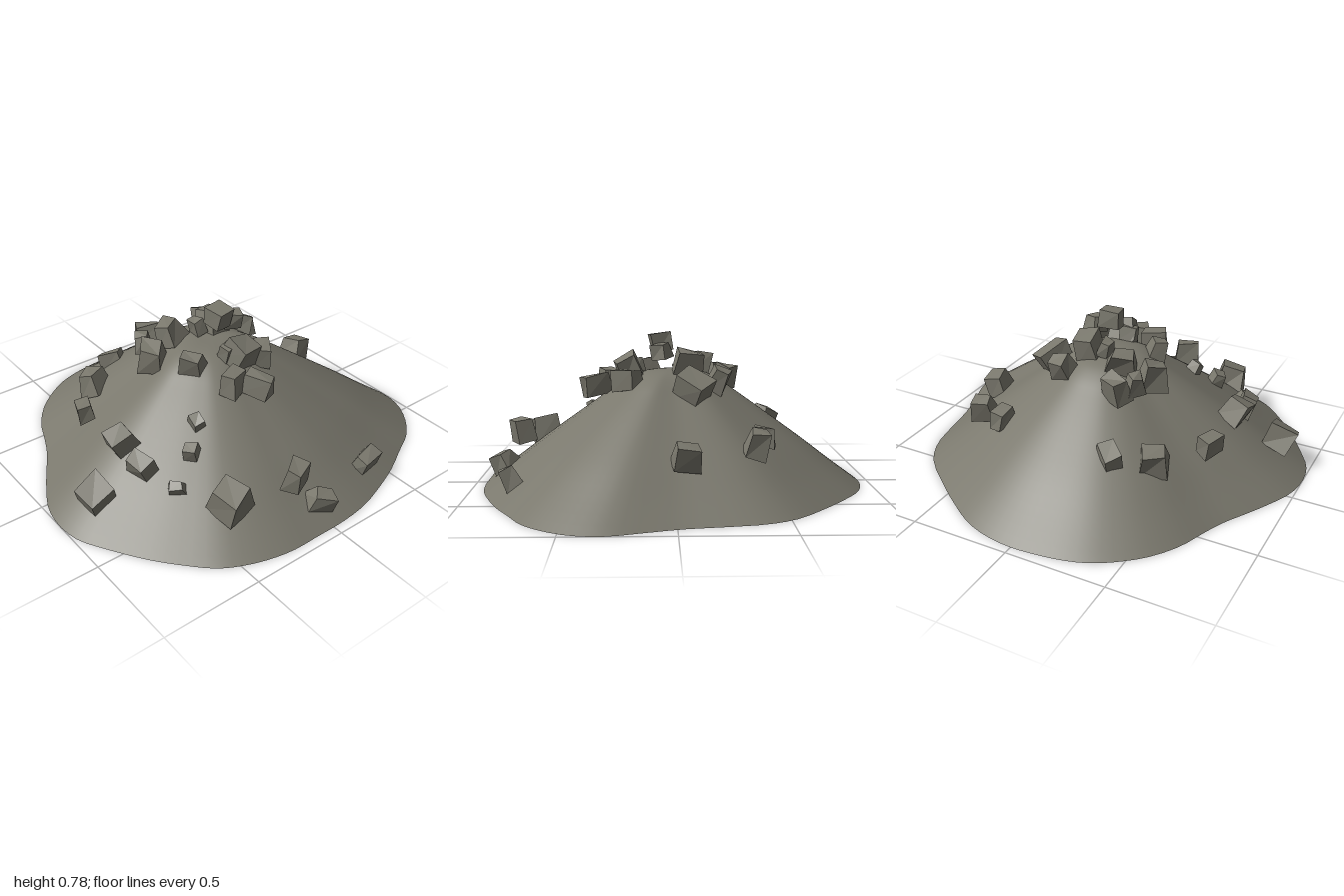
import * as THREE from 'three';

const stone = new THREE.MeshStandardMaterial({ color: 0x7a786d });
stone.name = 'grey stone';

// Footprint of the mound as x, z pairs, clockwise from the back
const outline = [
  [0, -0.957], [0.14, -0.94], [0.28, -0.89], [0.42, -0.8], [0.58, -0.68], [0.75, -0.53], [0.83, -0.39],
  [0.87, -0.2], [0.9, -0.02], [0.95, 0.14], [1, 0.31], [0.98, 0.45], [0.91, 0.57], [0.81, 0.67],
  [0.68, 0.74], [0.53, 0.82], [0.38, 0.88], [0.22, 0.93], [0.05, 0.95], [-0.1, 0.95], [-0.24, 0.95],
  [-0.36, 0.93], [-0.48, 0.89], [-0.59, 0.83], [-0.7, 0.72], [-0.8, 0.6], [-0.91, 0.43], [-0.98, 0.3],
  [-1, 0.17], [-0.98, 0.03], [-0.92, -0.1], [-0.84, -0.24], [-0.78, -0.34], [-0.73, -0.45],
  [-0.67, -0.6], [-0.58, -0.73], [-0.48, -0.82], [-0.37, -0.89], [-0.25, -0.93], [-0.12, -0.95],
];

// Height of the mound by fraction of its radius
const profile = [[0, 0.58], [0.1, 0.577], [0.18, 0.56], [0.25, 0.525], [0.32, 0.478], [0.42, 0.41],
  [0.55, 0.32], [0.7, 0.215], [0.85, 0.105], [1, 0]];

// Rocks: x, y, z, width, depth, yaw in degrees
const summitRocks = [
  [-0.28, 0.53, -0.09, 0.14, 0.14, 40], [-0.14, 0.6, -0.13, 0.13, 0.11, 20], [-0.18, 0.53, -0.28, 0.14, 0.09, -25],
  [-0.25, 0.54, -0.22, 0.09, 0.09, 50], [-0.2, 0.57, 0.13, 0.09, 0.13, 35], [-0.1, 0.52, 0.32, 0.13, 0.09, 25],
  [0, 0.5, 0.39, 0.08, 0.13, 30], [0.03, 0.59, 0.22, 0.13, 0.12, 5], [0.16, 0.54, 0.23, 0.08, 0.13, -35],
  [0.02, 0.72, 0.06, 0.1, 0.1, 5], [0.11, 0.68, 0.06, 0.09, 0.08, -30], [0.07, 0.61, -0.08, 0.11, 0.15, 10],
  [-0.02, 0.62, -0.07, 0.06, 0.09, 0], [0.15, 0.54, -0.22, 0.12, 0.1, -5], [0.26, 0.51, -0.09, 0.12, 0.16, -35],
  [-0.02, 0.6, 0.18, 0.09, 0.06, 15],
];
const slopeRocks = [
  [-0.26, 0.3, -0.5, 0.08, 0.12, 50], [-0.44, 0.28, -0.4, 0.13, 0.13, 30], [-0.63, 0.3, -0.18, 0.07, 0.11, -20],
  [-0.63, 0.32, 0.15, 0.13, 0.11, -5], [-0.63, 0.27, 0.31, 0.09, 0.12, 15], [-0.84, 0.17, 0.25, 0.14, 0.12, 3],
  [-0.55, 0.2, 0.48, 0.09, 0.06, -40], [-0.43, 0.32, 0.42, 0.07, 0.07, 35], [-0.33, 0.4, 0.34, 0.06, 0.07, -10],
  [-0.41, 0.2, 0.69, 0.16, 0.15, 15], [-0.1, 0.25, 0.78, 0.14, 0.09, 30], [0, 0.11, 0.86, 0.12, 0.09, -30],
  [0.38, 0.1, 0.77, 0.15, 0.08, 15], [0.38, 0.3, -0.42, 0.08, 0.1, -10], [0.52, 0.29, -0.37, 0.13, 0.1, 5],
  [0.65, 0.26, -0.05, 0.1, 0.12, 5],
];

let seed = 17;
function random() {
  seed = (seed * 16807) % 2147483647;
  return seed / 2147483647;
}
const spread = (amount) => (random() * 2 - 1) * amount;

function createMound() {
  const group = new THREE.Group();
  group.name = 'mound';
  const sides = 96;
  const rings = 30;
  const edge = new THREE.CatmullRomCurve3(outline.map(([x, z]) => new THREE.Vector3(x, 0, z)), true);
  const slope = new THREE.CatmullRomCurve3(profile.map(([t, y]) => new THREE.Vector3(t, y, 0)));
  const rim = Array.from({ length: sides }, (_, i) => edge.getPoint(i / sides));

  // Surface: rings scaled outward from a single peak
  const positions = [0, profile[0][1], 0];
  const indices = [];
  for (let r = 1; r <= rings; r++) {
    const p = slope.getPoint(r / rings);
    for (const q of rim) positions.push(q.x * p.x, p.y, q.z * p.x);
  }
  for (let i = 0; i < sides; i++) {
    const j = (i + 1) % sides;
    indices.push(0, 1 + j, 1 + i);
    for (let r = 0; r < rings - 1; r++) {
      const a = 1 + r * sides;
      const b = a + sides;
      indices.push(a + i, a + j, b + i, a + j, b + j, b + i);
    }
  }
  const geometry = new THREE.BufferGeometry();
  geometry.setAttribute('position', new THREE.Float32BufferAttribute(positions, 3));
  geometry.setIndex(indices);
  geometry.computeVertexNormals();
  const surface = new THREE.Mesh(geometry, stone);
  surface.name = 'moundSurface';

  // Flat underside
  const shape = new THREE.Shape(rim.map((q) => new THREE.Vector2(q.x, q.z)));
  const base = new THREE.Mesh(new THREE.ShapeGeometry(shape).rotateX(Math.PI / 2), stone);
  base.name = 'moundBase';
  group.add(surface, base);
  return group;
}

// A box with its eight corners shifted and its top narrowed
function rockGeometry(width, height, depth) {
  const taper = 0.72 + random() * 0.28;
  const corners = Array.from({ length: 8 }, () => [spread(0.1), spread(0.1), spread(0.1)]);
  const geometry = new THREE.BoxGeometry(1, 1, 1).toNonIndexed();
  const p = geometry.attributes.position;
  for (let i = 0; i < p.count; i++) {
    const [x, y, z] = [p.getX(i), p.getY(i), p.getZ(i)];
    const c = corners[(x > 0 ? 1 : 0) + (y > 0 ? 2 : 0) + (z > 0 ? 4 : 0)];
    const k = y > 0 ? taper : 1;
    p.setXYZ(i, (x * k + c[0]) * width, (y + c[1]) * height, (z * k + c[2]) * depth);
  }
  geometry.computeVertexNormals();
  return geometry;
}

function createRocks(name, rows, lean) {
  const group = new THREE.Group();
  group.name = name;
  const up = new THREE.Vector3(0, 1, 0);
  for (const [x, y, z, width, depth, yaw] of rows) {
    const height = (width + depth) * 0.48;
    const rock = new THREE.Mesh(rockGeometry(width, height, depth), stone);
    rock.name = 'rock';
    rock.position.set(x, y, z);
    // Lean each rock with the slope, then turn and tumble it a little
    const out = new THREE.Vector3(x, 0, z).normalize().multiplyScalar(lean).add(up).normalize();
    rock.quaternion.setFromUnitVectors(up, out);
    rock.rotateY(THREE.MathUtils.degToRad(yaw));
    rock.rotateX(spread(0.22));
    rock.rotateZ(spread(0.22));
    group.add(rock);
  }
  return group;
}

export function createModel() {
  const model = new THREE.Group();
  model.name = 'rubblePile';
  model.add(createMound());
  model.add(createRocks('summitRocks', summitRocks, 0.25));
  model.add(createRocks('slopeRocks', slopeRocks, 0.35));
  return model;
}
